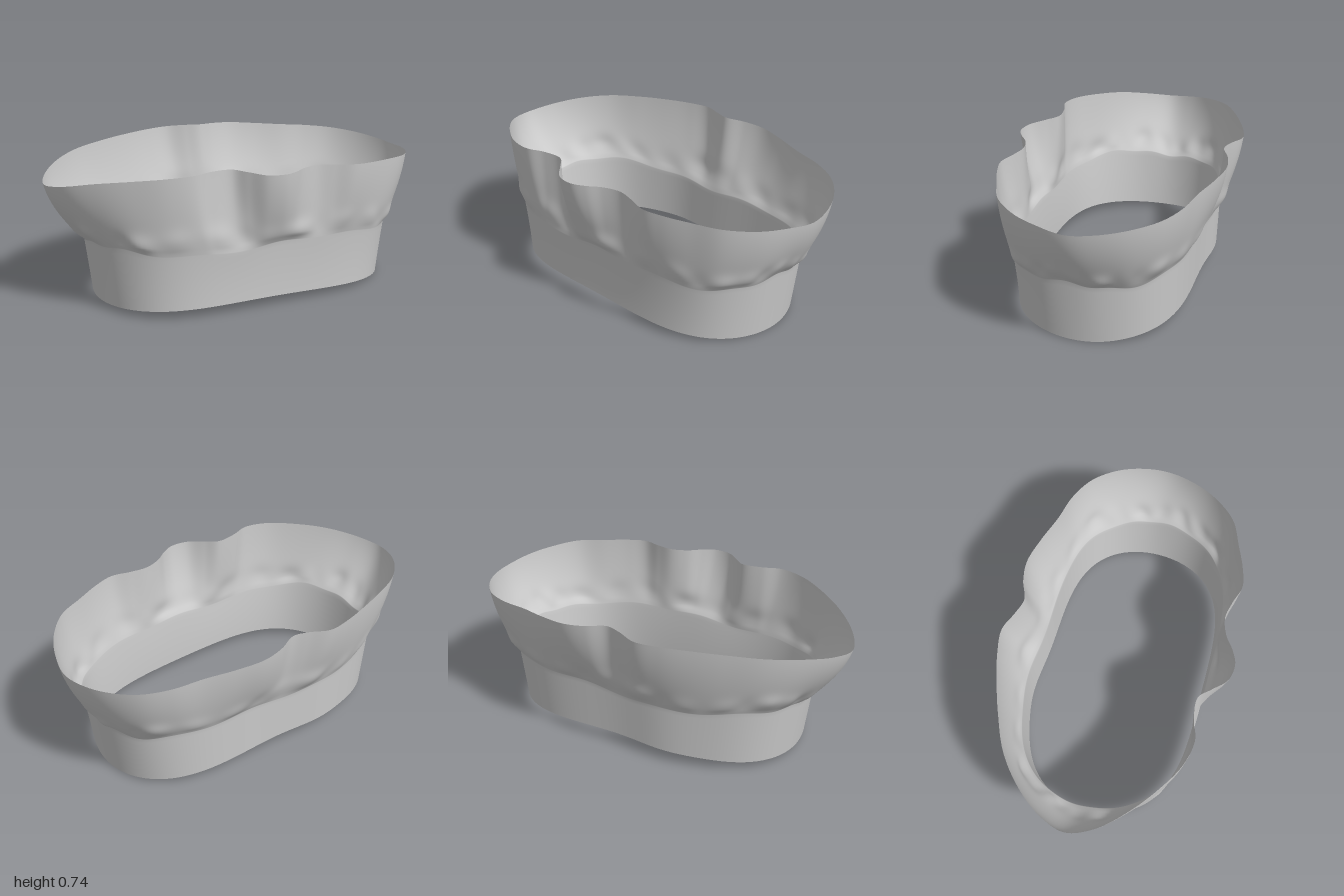
import * as THREE from 'three';

// Wavy top rim, from the left end round the front to the back: x, y, z
const RIM = [
  [1, 0.638, 0], [0.965, 0.65, 0.14], [0.9, 0.66, 0.27], [0.79, 0.675, 0.388],
  [0.65, 0.683, 0.45], [0.52, 0.692, 0.5], [0.42, 0.698, 0.52], [0.32, 0.702, 0.49],
  [0.23, 0.705, 0.473], [0.14, 0.706, 0.5], [0.07, 0.707, 0.548], [0, 0.708, 0.577],
  [-0.09, 0.71, 0.562], [-0.16, 0.718, 0.495], [-0.22, 0.725, 0.44], [-0.33, 0.728, 0.447],
  [-0.43, 0.727, 0.478], [-0.56, 0.72, 0.452], [-0.7, 0.705, 0.37], [-0.84, 0.683, 0.255],
  [-0.95, 0.652, 0.125], [-1, 0.635, -0.01], [-0.96, 0.652, -0.14], [-0.86, 0.68, -0.275],
  [-0.72, 0.702, -0.39], [-0.55, 0.716, -0.468], [-0.4, 0.724, -0.522], [-0.25, 0.729, -0.565],
  [-0.13, 0.732, -0.58], [-0.03, 0.738, -0.54], [0.05, 0.738, -0.518], [0.15, 0.73, -0.555],
  [0.26, 0.722, -0.57], [0.4, 0.71, -0.54], [0.55, 0.698, -0.492], [0.7, 0.686, -0.455],
  [0.83, 0.674, -0.385], [0.93, 0.66, -0.265], [0.985, 0.646, -0.13],
].map(p => new THREE.Vector3(...p));

const AROUND = 312, LOW_ROWS = 12, HIGH_ROWS = 30;
const bump = (v, centre, width) => Math.exp(-(((v - centre) / width) ** 2));

// Lower band: round ends and flat long sides; h runs from 0 at the hem to 1 at the waist
function bandPoint(angle, h) {
  const c = Math.cos(angle), s = Math.sin(angle);
  const r = Math.sqrt(2 / (s * s + Math.sqrt(s ** 4 + 4 * c ** 4)));
  const x = 0.03 + (0.79 + 0.038 * h) * r * c;
  let z = r * s * (s > 0 ? 0.448 + 0.014 * h * h : 0.425 + 0.01 * h);
  if (s < 0) z -= 0.025 * bump(x, -0.2, 0.2);
  const hem = 0.012 - 0.012 * c + s * s * (s > 0 ? 0.038 : 0.055);
  const waist = 0.325 - 0.012 * c + 0.012 * Math.sin(5 * angle + 1) + 0.006 * Math.sin(13 * angle);
  return new THREE.Vector3(x, THREE.MathUtils.lerp(hem, waist, h), z);
}

// Flared part above the waist; s runs from 0 at the waist to 1 at the rim
function flarePoint(angle, rim, s) {
  const p = bandPoint(angle, 1);
  const f = s + 0.65 * s * (1 - s);
  // Irregular soft gathers just above the waist
  const gather = 0.6 + Math.sin(11 * angle + 1) * Math.sin(3 * angle) + 0.5 * Math.sin(26 * angle + 2);
  const height = 0.17 + 0.05 * Math.sin(7 * angle);
  const puff = 0.008 * gather * bump(s, height, 0.13) * Math.min(1, s * 10);
  return new THREE.Vector3(
    THREE.MathUtils.lerp(p.x, rim.x, f) + puff * Math.cos(angle),
    THREE.MathUtils.lerp(p.y, rim.y, s),
    THREE.MathUtils.lerp(p.z, rim.z, f) + puff * Math.sin(angle));
}

export function createModel() {
  const group = new THREE.Group();
  group.name = 'gatheredFabricBand';

  const rimCurve = new THREE.CatmullRomCurve3(RIM, true, 'centripetal');
  const positions = [], index = [];
  const rows = LOW_ROWS + HIGH_ROWS;

  // Rings from hem to rim
  for (let j = 0; j <= rows; j++) {
    for (let i = 0; i < AROUND; i++) {
      const rim = rimCurve.getPoint(i / AROUND);
      const angle = Math.atan2(rim.z / 0.54, rim.x);
      const p = j <= LOW_ROWS
        ? bandPoint(angle, j / LOW_ROWS)
        : flarePoint(angle, rim, ((j - LOW_ROWS) / HIGH_ROWS) ** 1.3);
      positions.push(p.x, p.y, p.z);
    }
  }
  // Outward-facing quads that close around the ring
  for (let j = 0; j < rows; j++) {
    for (let i = 0; i < AROUND; i++) {
      const k = (i + 1) % AROUND;
      const a = j * AROUND + i, b = j * AROUND + k;
      const c = a + AROUND, d = b + AROUND;
      index.push(a, c, b, b, c, d);
    }
  }

  const geometry = new THREE.BufferGeometry();
  geometry.setAttribute('position', new THREE.Float32BufferAttribute(positions, 3));
  geometry.setIndex(index);
  geometry.computeVertexNormals();

  const fabric = new THREE.Mesh(geometry,
    new THREE.MeshStandardMaterial({ color: 0xcccccc, side: THREE.DoubleSide }));
  fabric.name = 'fabricBand';
  group.add(fabric);
  return group;
}
